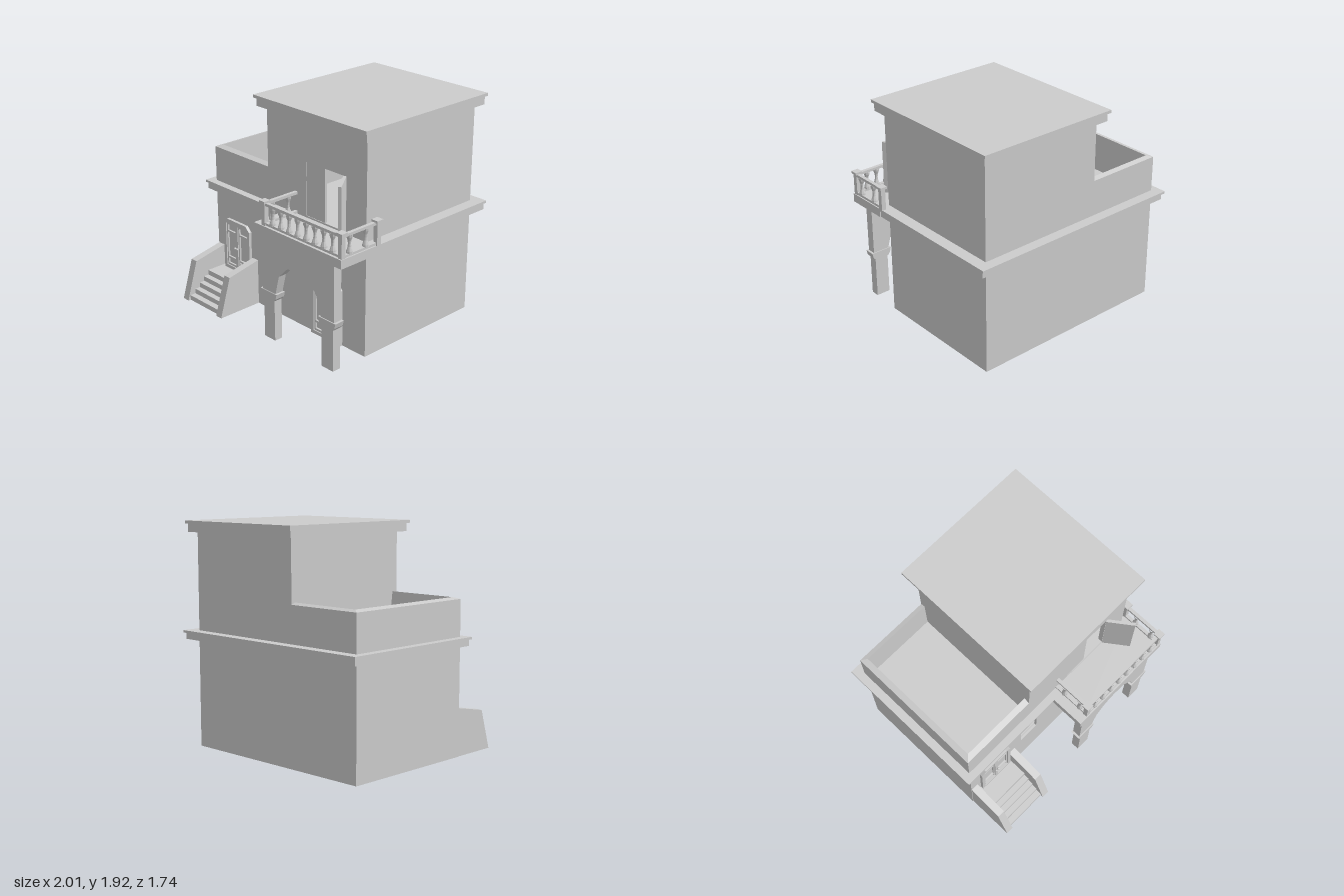
import * as THREE from 'three';

const mat = new THREE.MeshStandardMaterial({ color: 0xcccccc, flatShading: true });
const thin = new THREE.MeshStandardMaterial({ color: 0xcccccc, flatShading: true, side: THREE.DoubleSide });

export function createModel() {
  const model = new THREE.Group();
  model.name = 'house';

  const add = (name, geo, parent = model, material = mat) => {
    const m = new THREE.Mesh(geo, material);
    m.name = name;
    parent.add(m);
    return m;
  };
  const group = (name) => {
    const g = new THREE.Group();
    g.name = name;
    model.add(g);
    return g;
  };
  // box from its limits
  const box = (name, x0, x1, y0, y1, z0, z1, parent) => {
    const g = new THREE.BoxGeometry(x1 - x0, y1 - y0, z1 - z0);
    g.translate((x0 + x1) / 2, (y0 + y1) / 2, (z0 + z1) / 2);
    return add(name, g, parent);
  };
  const poly = (pts) => pts.map(([x, y]) => new THREE.Vector2(x, y));
  const rect = (x0, x1, y0, y1) => [[x0, y0], [x1, y0], [x1, y1], [x0, y1]];
  // outline in x,y with holes, extruded from z0 to z1
  const plate = (name, outline, holes, z0, z1, parent) => {
    const s = new THREE.Shape(poly(outline));
    holes.forEach((h) => s.holes.push(new THREE.Path(poly(h))));
    const g = new THREE.ExtrudeGeometry(s, { depth: z1 - z0, bevelEnabled: false });
    return add(name, g.translate(0, 0, z0), parent);
  };
  // outline in z,y extruded from x0 to x1
  const sidePlate = (name, outline, x0, x1, parent) => {
    const s = new THREE.Shape(poly(outline.map(([z, y]) => [-z, y])));
    const g = new THREE.ExtrudeGeometry(s, { depth: x1 - x0, bevelEnabled: false });
    return add(name, g.rotateY(Math.PI / 2).translate(x0, 0, 0), parent);
  };

  // ground floor: core plus a front wall with the window opening
  const win = [-0.32, -0.13, 0.44, 0.695];
  box('groundFloor', -0.93, 0.89, 0, 0.93, -0.78, 0.4);
  plate('groundFrontWall', rect(-0.93, 0.89, 0, 0.93), [rect(...win)], 0.4, 0.45);
  const grille = group('windowGrille');
  for (let i = 0; i < 6; i++) {
    const x = win[0] + 0.015 + i * 0.032;
    box('verticalBar', x - 0.005, x + 0.005, win[2], win[3], 0.415, 0.425, grille);
  }
  for (let i = 0; i < 7; i++) {
    const y = win[2] + 0.02 + i * 0.036;
    box('horizontalBar', win[0], win[1], y - 0.005, y + 0.005, 0.42, 0.43, grille);
  }

  // ledge between the floors
  box('ledgeLower', -0.98, 0.98, 0.925, 0.98, -0.85, 0.505);
  box('ledgeUpper', -1, 0.99, 0.98, 1, -0.87, 0.515);

  // hollow upper storey with a balcony doorway
  const upper = group('upperFloor');
  plate('upperFrontWall', rect(-0.24, 0.89, 1, 1.83), [rect(0.22, 0.65, 1.015, 1.475)], 0.41, 0.45, upper);
  box('upperBackWall', -0.24, 0.89, 1, 1.83, -0.78, -0.74, upper);
  box('upperLeftWall', 0.85, 0.89, 1, 1.83, -0.74, 0.41, upper);
  box('upperRightWall', -0.24, -0.2, 1, 1.83, -0.74, 0.41, upper);
  box('corniceLower', -0.295, 0.94, 1.83, 1.9, -0.84, 0.51);
  box('corniceUpper', -0.315, 0.955, 1.9, 1.925, -0.86, 0.53);

  // balcony door leaves, one closed and one swung open
  box('balconyDoorClosed', 0.22, 0.43, 1.015, 1.475, 0.425, 0.445);
  const leaf = add('balconyDoorOpen', new THREE.BoxGeometry(0.235, 0.46, 0.025).translate(0.1175, 1.247, 0));
  leaf.position.set(0.655, 0, 0.45);
  leaf.rotation.y = -0.94;

  // terrace parapet: a U-shaped wall lofted through four levels
  const level = (x, z0, z1, y) => [[-0.24, y, z1], [x, y, z1], [x, y, z0], [-0.24, y, z0]];
  const loops = [level(-0.93, -0.78, 0.45, 1), level(-0.93, -0.78, 0.45, 1.31),
    level(-0.88, -0.74, 0.4, 1.325), level(-0.865, -0.735, 0.36, 1)];
  const verts = [];
  for (let l = 0; l < 3; l++) {
    for (let i = 0; i < 3; i++) {
      const [a, b, c, d] = [loops[l][i], loops[l][i + 1], loops[l + 1][i + 1], loops[l + 1][i]];
      verts.push(...a, ...c, ...b, ...a, ...d, ...c);
    }
  }
  const parapet = new THREE.BufferGeometry();
  parapet.setAttribute('position', new THREE.Float32BufferAttribute(verts, 3));
  parapet.computeVertexNormals();
  add('terraceParapet', parapet, model, thin);

  // double doors with chamfered frames, panelled leaves and knobs
  const door = (name, cx, y0, y1, knobY) => {
    const g = group(name);
    const w = 0.17, c = 0.045, h = y1 - y0;
    const out = [[cx - w, y0], [cx + w, y0], [cx + w, y1 - c], [cx + w - c, y1], [cx - w + c, y1], [cx - w, y1 - c]];
    const leaves = [[cx - 0.14, cx - 0.015], [cx + 0.015, cx + 0.14]];
    const b = y0 + 0.03, t = y1 - 0.04;
    plate('doorFrame', out, leaves.map(([a, d]) => rect(a, d, b, t)), 0.45, 0.477, g);
    leaves.forEach(([a, d]) => {
      const cuts = [[0.04, 0.16], [0.2, 0.78], [0.82, 0.96]];
      const panels = cuts.map(([p, q]) => rect(a + 0.012, d - 0.012, b + p * (t - b), b + q * (t - b)));
      plate('doorLeaf', rect(a, d, b, t), panels, 0.45, 0.467, g);
    });
    for (const s of [-1, 1]) {
      add('doorKnob', new THREE.SphereGeometry(0.012, 10, 8).translate(cx + s * 0.012, knobY, 0.486), g);
    }
    return h;
  };
  door('raisedDoor', -0.65, 0.22, 0.69, 0.44);
  door('porchDoor', 0.465, 0, 0.54, 0.25);

  // stairs: folded steps between sloping side walls
  const stairs = group('stairs');
  const rise = 0.044, fronts = [0.64, 0.69, 0.74, 0.79, 0.845];
  const top = [[0.45, 0.22]], under = [[0.45, 0.19]];
  fronts.forEach((z, i) => {
    const y = 0.22 - i * rise;
    top.push([z, y], [z, y - rise]);
    under.push([z - 0.02, y - 0.03], [z - 0.02, Math.max(0, y - rise - 0.03)]);
  });
  sidePlate('steps', [...top, ...under.reverse()], -0.86, -0.47, stairs);
  for (const x of [-0.925, -0.47]) {
    sidePlate('stairSideWall', [[0.45, 0], [0.87, 0], [0.765, 0.345], [0.45, 0.408]], x, x + 0.068, stairs);
  }

  // porch: arched wall on two pillars with flared capitals
  const porch = group('porch');
  plate('archWall', [[0.06, 0.43], [0.215, 0.43], [0.26, 0.6], [0.36, 0.7], [0.477, 0.728], [0.595, 0.7],
    [0.69, 0.6], [0.74, 0.43], [0.89, 0.43], [0.89, 0.93], [0.06, 0.93]], [], 0.715, 0.79, porch);
  for (const x of [0.138, 0.815]) {
    box('pillar', x - 0.063, x + 0.063, 0, 0.38, 0.715, 0.79, porch);
    plate('capital', [[x - 0.063, 0.36], [x + 0.063, 0.36], [x + 0.085, 0.385], [x + 0.097, 0.43],
      [x - 0.097, 0.43], [x - 0.085, 0.385]], [], 0.707, 0.798, porch);
  }

  // balcony slab and balustrade
  const balcony = group('balcony');
  box('balconySlab', 0, 0.99, 0.925, 1, 0.44, 0.815, balcony);
  for (const [x, z] of [[0.1, 0.785], [0.965, 0.785], [0.975, 0.42]]) {
    box('railPost', x - 0.02, x + 0.02, 1, 1.19, z - 0.02, z + 0.02, balcony);
    box('postCap', x - 0.032, x + 0.032, 1.19, 1.21, z - 0.032, z + 0.032, balcony);
  }
  for (const [y0, y1] of [[1.005, 1.025], [1.17, 1.193]]) {
    box('frontRail', 0.1, 0.965, y0, y1, 0.77, 0.8, balcony);
    box('sideRail', 0.085, 0.115, y0, y1, 0.45, 0.785, balcony);
    box('sideRail', 0.955, 0.985, y0, y1, 0.42, 0.785, balcony);
  }
  const profile = poly([[0.027, 1.02], [0.025, 1.04], [0.014, 1.075], [0.012, 1.1], [0.014, 1.125], [0.025, 1.155], [0.027, 1.175]]);
  const baluster = (x, z) => add('baluster', new THREE.LatheGeometry(profile, 8).translate(x, 0, z), balcony);
  for (let i = 0; i < 8; i++) baluster(0.195 + i * 0.0965, 0.785);
  for (const z of [0.71, 0.54]) {
    baluster(0.1, z);
    baluster(0.97, z);
  }
  return model;
}
